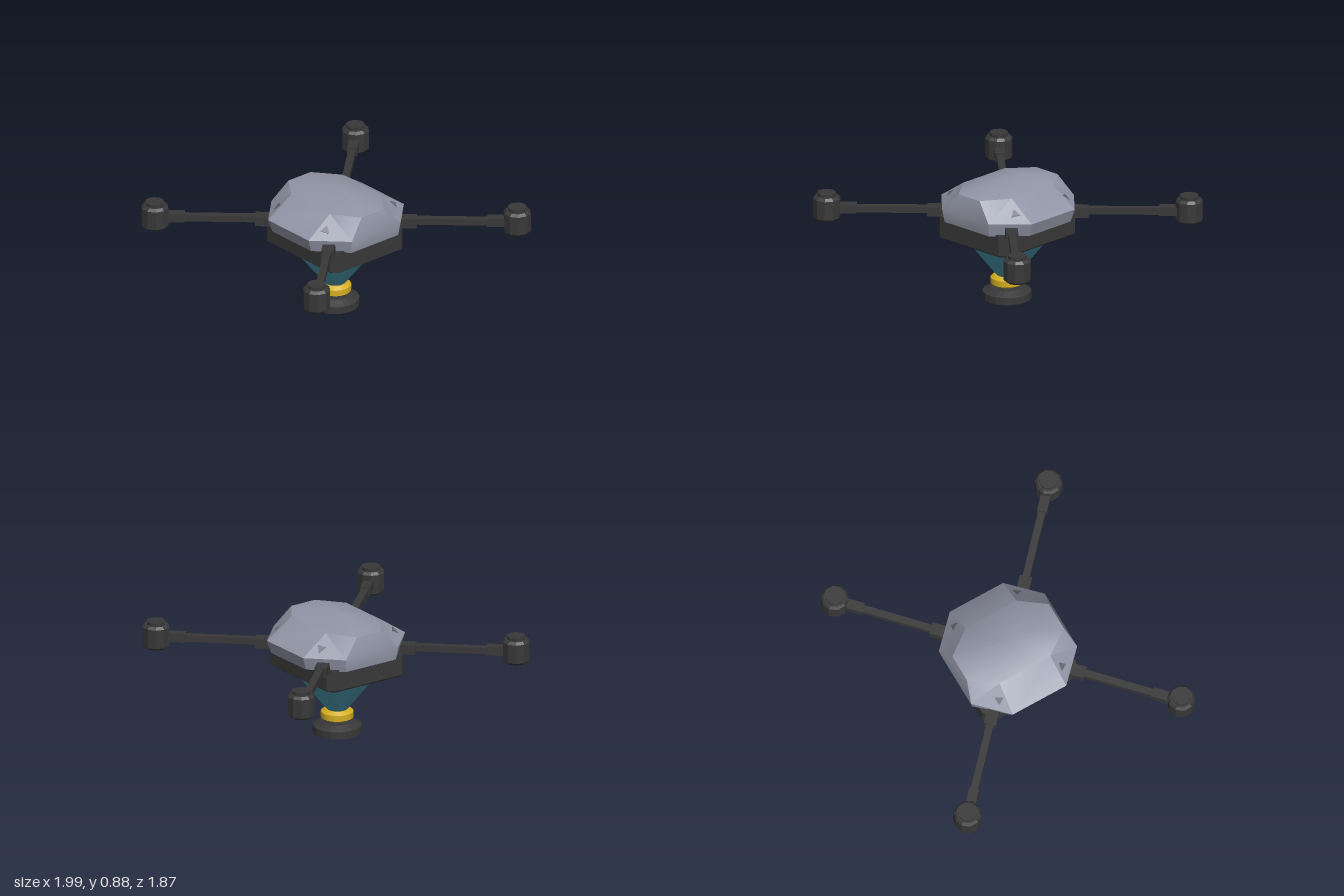
import * as THREE from 'three';
import { toCreasedNormals } from 'three/addons/utils/BufferGeometryUtils.js';

const paint = (color, flatShading = false) => new THREE.MeshStandardMaterial({ color, flatShading });
const dark = paint(0x383838, true);
const shell = paint(0x9295a6);
const vent = paint(0x666875, true);
const teal = paint(0x4a97ab);
const yellow = paint(0xd4ae20);

function add(parent, name, geometry, material, x = 0, y = 0, z = 0) {
  const mesh = new THREE.Mesh(geometry, material);
  mesh.name = name;
  mesh.position.set(x, y, z);
  parent.add(mesh);
  return mesh;
}

// Closed loft through octagons, bottom to top: [y, halfX, halfZ, cornerX, cornerZ, cornerY of z edges]
function loftOctagons(rings) {
  const loops = rings.map(([y, hx, hz, cx, cz, y2 = y]) => [
    [hx, y, cz], [hx, y, -cz], [cx, y2, -hz], [-cx, y2, -hz],
    [-hx, y, -cz], [-hx, y, cz], [-cx, y2, hz], [cx, y2, hz],
  ]);
  const out = [];
  const tri = (...points) => points.forEach((p) => out.push(...p));
  for (let i = 0; i < loops.length - 1; i++) {
    for (let j = 0; j < 8; j++) {
      const k = (j + 1) % 8;
      const a = loops[i][j], b = loops[i][k], c = loops[i + 1][k], d = loops[i + 1][j];
      if (j % 4 === 1) { tri(a, b, d); tri(b, c, d); } else { tri(a, b, c); tri(a, c, d); }
    }
  }
  const first = loops[0], last = loops[loops.length - 1];
  for (let j = 1; j < 7; j++) {
    tri(first[0], first[j + 1], first[j]);
    tri(last[0], last[j], last[j + 1]);
  }
  const geometry = new THREE.BufferGeometry();
  geometry.setAttribute('position', new THREE.Float32BufferAttribute(out, 3));
  geometry.computeVertexNormals();
  return geometry;
}

const lathe = (profile, sides) => toCreasedNormals(
  new THREE.LatheGeometry(profile.map(([r, y]) => new THREE.Vector2(r, y)), sides), 0.45);

function createArm(sx, sz) {
  const arm = new THREE.Group();
  arm.name = 'arm';
  const motorX = 0.905, motorZ = 0.84;

  // Beam and sleeves run along local x from the hub towards the motor
  const boom = new THREE.Group();
  boom.name = 'boom';
  boom.rotation.y = Math.atan2(-sz * motorZ, sx * motorX);
  const bar = (name, from, to, bottom, top, width) => add(boom, name,
    new THREE.BoxGeometry(to - from, top - bottom, width), dark, (from + to) / 2, (bottom + top) / 2);
  bar('armRoot', 0.38, 0.55, 0.595, 0.663, 0.085);
  bar('armBeam', 0.5, 1.18, 0.615, 0.66, 0.05);
  bar('motorSleeve', 1.03, 1.17, 0.61, 0.672, 0.068);
  arm.add(boom);

  // Motor pod with chamfered rims and a raised cap
  add(arm, 'motor', lathe([
    [0, 0.56], [0.073, 0.56], [0.095, 0.578], [0.095, 0.712], [0.078, 0.73],
    [0.065, 0.73], [0.065, 0.752], [0, 0.752],
  ], 10), dark, sx * motorX, 0, sz * motorZ);
  return arm;
}

export function createModel() {
  const model = new THREE.Group();
  model.name = 'drone';
  const body = new THREE.Group();
  body.name = 'body';
  model.add(body);

  // Lower hull with clipped corners and a bevelled underside
  add(body, 'hull', loftOctagons([
    [0.44, 0.30, 0.34, 0.26, 0.30],
    [0.46, 0.328, 0.37, 0.278, 0.325],
    [0.61, 0.328, 0.37, 0.278, 0.325],
  ]), dark, -0.01);

  // Faceted canopy with a short central ridge
  add(body, 'canopy', toCreasedNormals(loftOctagons([
    [0.598, 0.40, 0.403, 0.21, 0.20],
    [0.69, 0.43, 0.417, 0.22, 0.21],
    [0.825, 0.23, 0.38, 0.10, 0.20, 0.82],
    [0.876, 0.01, 0.10, 0.008, 0.09],
  ]), 0.5), shell);

  for (const sx of [-1, 1]) {
    for (const sz of [-1, 1]) {
      model.add(createArm(sx, sz));

      // Small triangular vent on each canopy corner
      const slot = add(body, 'vent', new THREE.CylinderGeometry(0.036, 0.036, 0.008, 3), vent,
        sx * 0.308, 0.744, sz * 0.247);
      slot.quaternion.setFromUnitVectors(new THREE.Vector3(0, 1, 0),
        new THREE.Vector3(sx * 0.475, 0.74, sz * 0.487).normalize());
    }
  }

  // Sensor stack below the hull
  add(body, 'funnel', lathe([[0, 0.15], [0.07, 0.15], [0.07, 0.165], [0.29, 0.445], [0, 0.445]], 24), teal, -0.01);
  add(body, 'collar', lathe([
    [0, 0.083], [0.06, 0.083], [0.112, 0.108], [0.112, 0.15], [0.085, 0.17], [0, 0.17],
  ], 20), yellow, -0.01);
  add(body, 'foot', lathe([
    [0, 0.03], [0.14, 0.002], [0.168, 0], [0.168, 0.052], [0.112, 0.08], [0, 0.084],
  ], 20), dark, -0.01);

  return model;
}
